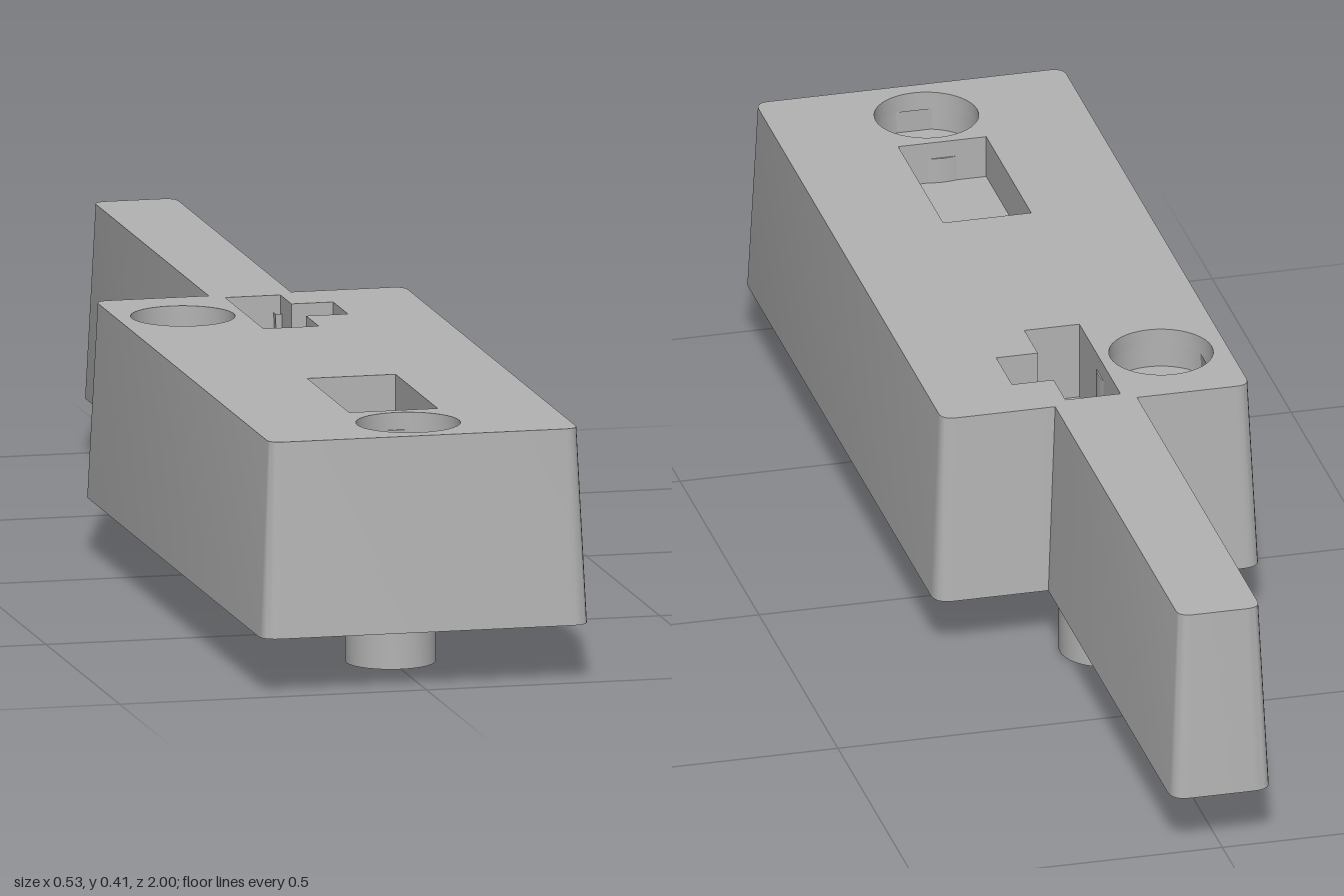
import * as THREE from 'three';
import { toCreasedNormals } from 'three/addons/utils/BufferGeometryUtils.js';

const BASE = 0.093, TOP = 0.408, CEILING = 0.38;

// Plan outline (x, z) of wide body plus narrow tail, inset by o
function outline(o) {
  const X = 0.267 - o, w = 0.082 - o, zb = -0.215 + o, z0 = -1 + o, z1 = 1 - o;
  const r = Math.max(0.03 - o * 0.5, 0.012);
  const corners = [[w, z0, r], [w, zb, 0], [X, zb, r], [X, z1, r], [-X, z1, r], [-X, zb, r], [-w, zb, 0], [-w, z0, r]];
  const pts = [];
  corners.forEach(([x, z, rad], i) => {
    const c = new THREE.Vector2(x, z);
    if (!rad) return pts.push(c);
    const toward = (k) => {
      const q = corners[(k + 8) % 8];
      return new THREE.Vector2(q[0], q[1]).sub(c).setLength(rad).add(c);
    };
    pts.push(...new THREE.QuadraticBezierCurve(toward(i - 1), c, toward(i + 1)).getPoints(6));
  });
  return pts;
}

// Skin a list of [inset, y] sections of the outline
function loft(sections) {
  const pos = [];
  const rings = sections.map(([o, y]) => outline(o).map((p) => [p.x, y, p.y]));
  for (let s = 0; s < rings.length - 1; s++) {
    const a = rings[s], b = rings[s + 1], n = a.length;
    for (let i = 0; i < n; i++) {
      const j = (i + 1) % n;
      pos.push(...a[i], ...a[j], ...b[i], ...a[j], ...b[j], ...b[i]);
    }
  }
  const g = new THREE.BufferGeometry();
  g.setAttribute('position', new THREE.Float32BufferAttribute(pos, 3));
  return toCreasedNormals(g, 0.6);
}

// Upright slab from a plan contour with holes
function slab(contour, holes, y0, y1) {
  const shape = new THREE.Shape(contour);
  shape.holes = holes.map((h) => new THREE.Path(h));
  const g = new THREE.ExtrudeGeometry(shape, { depth: y1 - y0, bevelEnabled: false });
  g.rotateX(Math.PI / 2).translate(0, y1, 0);
  return toCreasedNormals(g, 0.6);
}

const circle = (x, z, r, n = 40) => Array.from({ length: n }, (_, i) => {
  const a = (i / n) * Math.PI * 2;
  return new THREE.Vector2(x + r * Math.cos(a), z + r * Math.sin(a));
});
const poly = (list) => list.map(([x, z]) => new THREE.Vector2(x, z));

// Six-pointed socket contour
const star = (x, z) => Array.from({ length: 24 }, (_, i) => {
  const a = ((i + 0.5) / 24) * Math.PI * 2;
  const r = i % 4 === 0 || i % 4 === 3 ? 0.052 : 0.028;
  return new THREE.Vector2(x + r * Math.cos(a), z + r * Math.sin(a));
});

export function createModel() {
  const model = new THREE.Group();
  const grey = new THREE.MeshStandardMaterial({ color: 0xb3b3b3 });
  grey.name = 'grey plastic';
  const add = (name, geometry, parent = model) => {
    const m = new THREE.Mesh(geometry, grey);
    m.name = name;
    parent.add(m);
  };

  // Recesses in the top: contour grown by o, through holes, underside and floor heights
  const recesses = [
    { name: 'frontRoundRecess', at: (o) => circle(0, 0.875, 0.083 + o), holes: [], bottom: 0.315, floor: 0.343 },
    { name: 'rearRoundRecess', at: (o) => circle(-0.145, -0.05, 0.083 + o), holes: [], bottom: 0.315, floor: 0.343 },
    {
      name: 'rectangularPocket',
      at: (o) => poly([[-0.072 - o, 0.49 - o], [0.072 + o, 0.49 - o], [0.072 + o, 0.775 + o], [-0.072 - o, 0.775 + o]]),
      holes: [circle(0, 0.545, 0.046)], bottom: 0.308, floor: 0.338,
    },
    {
      name: 'teeSlot',
      at: (o) => poly([
        [-0.045 - o, -0.18 - o], [0.045 + o, -0.18 - o], [0.045 + o, -0.105 - o], [0.113 + o, -0.105 - o],
        [0.113 + o, -0.005 + o], [0.045 + o, -0.005 + o], [0.045 + o, 0.08 + o], [-0.045 - o, 0.08 + o],
      ]),
      holes: [circle(0, -0.128, 0.024, 24), circle(0, 0.028, 0.024, 24)], bottom: 0.255, floor: 0.28,
    },
  ];

  // Hollow tapered shell and pierced top
  add('shellWalls', loft([[0.015, TOP], [0, BASE], [0.038, BASE], [0.048, CEILING]]));
  add('topPlate', slab(outline(0.015), recesses.map((r) => r.at(0)), CEILING, TOP));

  // Cups that close the recesses from below
  for (const r of recesses) {
    const cup = new THREE.Group();
    cup.name = r.name;
    add('recessWall', slab(r.at(0.02), [r.at(0)], r.bottom, CEILING), cup);
    add('recessFloor', slab(r.at(0), r.holes, r.bottom, r.floor), cup);
    model.add(cup);
  }

  // Posts under the body with star sockets: z, lower end, upper end
  for (const [z, y0, y1] of [[0.755, 0, 0.315], [0.253, 0.112, 0.385], [-0.25, 0, 0.3]]) {
    const post = new THREE.Group();
    post.name = 'post';
    add('postSocket', slab(circle(0, z, 0.072), [star(0, z)], y0, y0 + 0.12), post);
    add('postCore', slab(circle(0, z, 0.072), [], y0 + 0.12, y1), post);
    model.add(post);
  }
  return model;
}
